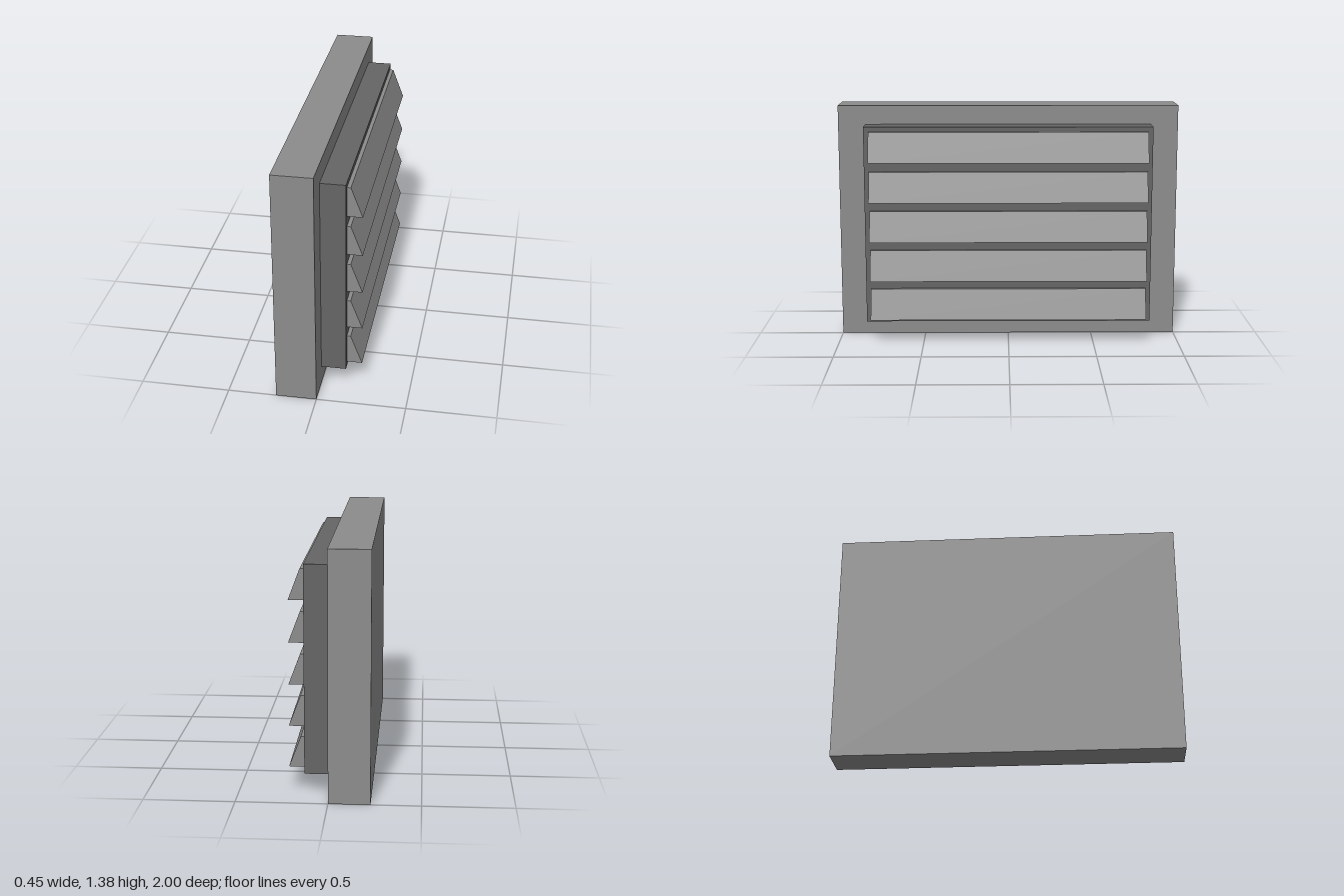
import * as THREE from 'three';

export function createModel() {
  const model = new THREE.Group();
  const wallGrey = new THREE.MeshStandardMaterial({ color: 0x8c8c8c });
  wallGrey.name = 'light grey';
  const frameGrey = new THREE.MeshStandardMaterial({ color: 0x656565 });
  frameGrey.name = 'dark grey';

  const add = (name, geometry, material, x, y) => {
    const mesh = new THREE.Mesh(geometry, material);
    mesh.name = name;
    mesh.position.set(x, y, 0);
    model.add(mesh);
  };

  // Wall panel and the raised vent frame on its +x side
  add('wallPanel', new THREE.BoxGeometry(0.228, 1.38, 2), wallGrey, -0.114, 0.69);
  add('ventFrame', new THREE.BoxGeometry(0.14, 1.16, 1.68), frameGrey, 0.07, 0.69);

  // Louvre slats: wedge section, narrow at the top, sloping outwards
  const section = new THREE.Shape([
    new THREE.Vector2(0.135, 0),
    new THREE.Vector2(0.226, 0),
    new THREE.Vector2(0.161, 0.172),
    new THREE.Vector2(0.135, 0.172),
  ]);
  const slat = new THREE.ExtrudeGeometry(section, { depth: 1.62, bevelEnabled: false });
  slat.translate(0, 0, -0.81);
  for (let i = 0; i < 5; i++) {
    add('louvreSlat' + (i + 1), slat, wallGrey, 0, 0.14 + i * 0.2325);
  }

  return model;
}
